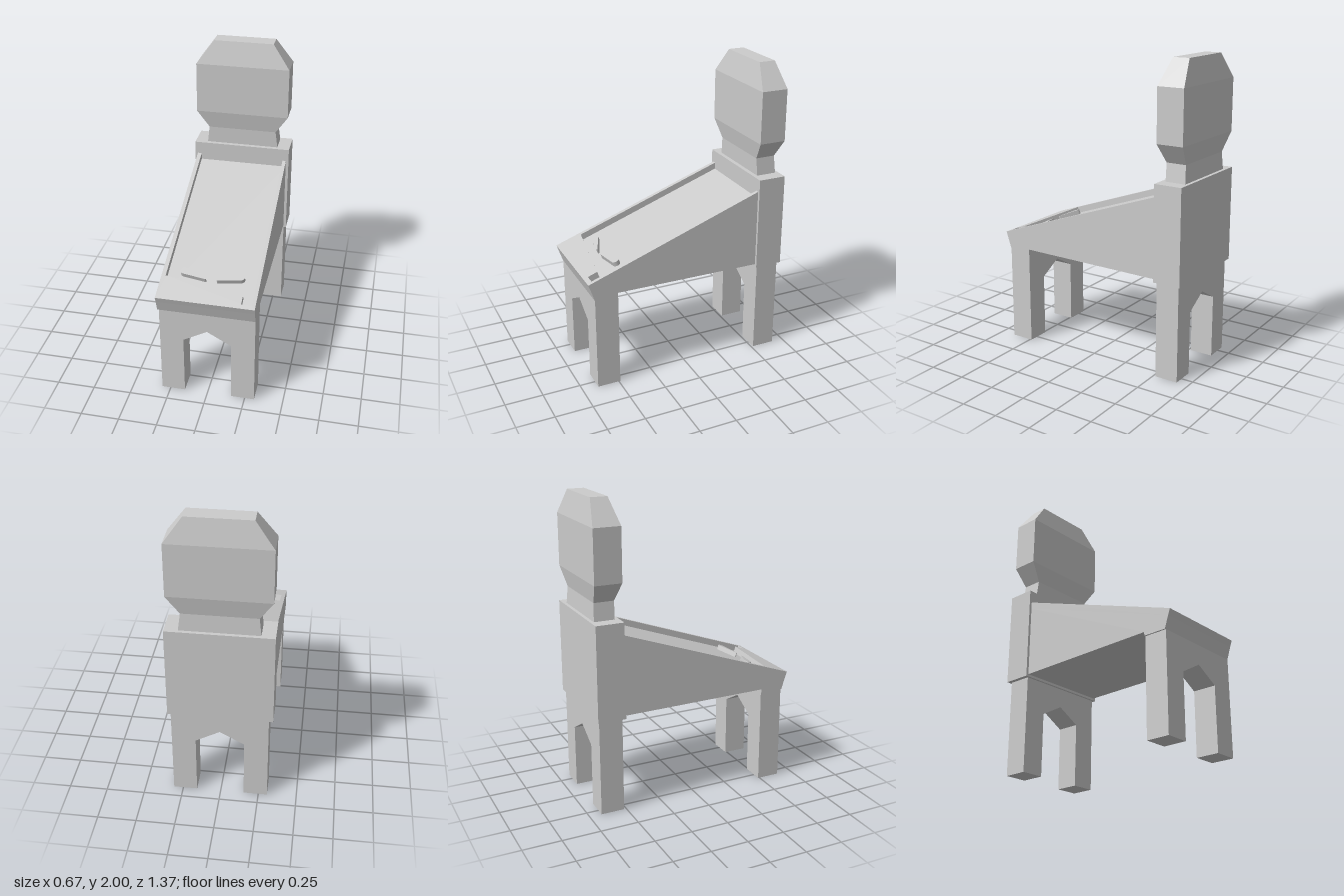
import * as THREE from 'three';

const material = new THREE.MeshStandardMaterial({ color: 0xcccccc, flatShading: true });

// Slope frame of the table top: s runs from the front lip up the slope
const FRONT = { y: 0.755, z: 0.685 }, RISE = 0.42, RUN = 1.185;
const LENGTH = Math.hypot(RISE, RUN);
const RECESS = 0.0425;
const slopeAt = (z) => (FRONT.z - z) * LENGTH / RUN;

function mesh(name, geometry, parent) {
  const m = new THREE.Mesh(geometry, material);
  m.name = name;
  parent.add(m);
  return m;
}

function extrude(points, depth) {
  const shape = new THREE.Shape(points.map(([x, y]) => new THREE.Vector2(x, y)));
  return new THREE.ExtrudeGeometry(shape, { depth, bevelEnabled: false });
}

// Joins rectangular sections [y, xMin, xMax, zBack, zFront] from bottom to top
function loftRectangles(sections) {
  const rings = sections.map(([y, x0, x1, z0, z1]) =>
    [[x0, y, z1], [x1, y, z1], [x1, y, z0], [x0, y, z0]]);
  const positions = [];
  const quad = (a, b, c, d) => positions.push(...a, ...b, ...c, ...a, ...c, ...d);
  for (let i = 0; i < rings.length - 1; i++) {
    for (let k = 0; k < 4; k++) {
      const n = (k + 1) % 4;
      quad(rings[i][k], rings[i][n], rings[i + 1][n], rings[i + 1][k]);
    }
  }
  quad(...rings[rings.length - 1]);
  quad(...rings[0].slice().reverse());
  const geometry = new THREE.BufferGeometry();
  geometry.setAttribute('position', new THREE.Float32BufferAttribute(positions, 3));
  geometry.computeVertexNormals();
  return geometry;
}

// Tapered flipper outline: a large round at the pivot, a small one at the tip
function flipperGeometry(pivot, tip, r0, r1, depth) {
  const dx = tip[0] - pivot[0], dy = tip[1] - pivot[1];
  const angle = Math.atan2(dy, dx);
  const spread = Math.acos((r0 - r1) / Math.hypot(dx, dy));
  const points = [];
  const arc = (c, r, from, to, steps) => {
    for (let i = 0; i <= steps; i++) {
      const a = from + (to - from) * i / steps;
      points.push([c[0] + r * Math.cos(a), c[1] + r * Math.sin(a)]);
    }
  };
  arc(pivot, r0, angle + spread, angle + 2 * Math.PI - spread, 12);
  arc(tip, r1, angle - spread, angle + spread, 4);
  return extrude(points, depth);
}

export function createModel() {
  const model = new THREE.Group();
  model.name = 'pinballMachine';

  // Wedge-shaped cabinet below the playfield
  const ny = RUN / LENGTH * RECESS, nz = RISE / LENGTH * RECESS;
  const cabinet = extrude([
    [0.645, 0.636], [FRONT.z - nz, FRONT.y - ny], [-0.51, 1.134],
    [-0.51, 0.65], [0.49, 0.66], [0.49, 0.636],
  ], 0.629);
  cabinet.rotateY(-Math.PI / 2).translate(0.312, 0, 0);
  mesh('cabinet', cabinet, model);

  // Raised rim, apron and ball chute on the slope
  const table = new THREE.Group();
  table.name = 'tableTop';
  table.position.set(0, FRONT.y, FRONT.z);
  table.rotation.x = -Math.atan2(RUN, RISE);
  model.add(table);
  const end = LENGTH + 0.01;
  const rim = extrude([
    [-0.317, 0], [0.312, 0], [0.312, end], [0.288, end],
    [0.288, slopeAt(0.655)], [0.222, slopeAt(0.655)], [0.222, slopeAt(0.592)],
    [-0.29, slopeAt(0.518)], [-0.29, end], [-0.317, end],
  ], RECESS);
  mesh('rimAndApron', rim, table).position.z = -RECESS;

  // Pair of flippers
  for (const [side, name] of [[1, 'leftFlipper'], [-1, 'rightFlipper']]) {
    const flipper = flipperGeometry(
      [side * 0.184, slopeAt(0.46)], [side * 0.039, slopeAt(0.499)], 0.024, 0.005, 0.032);
    mesh(name, flipper, table).position.z = -RECESS;
  }

  // Front and back leg frames with a pointed arch
  const legProfile = (top) => [
    [-0.307, 0], [-0.153, 0], [-0.153, 0.42], [0.0025, 0.508], [0.158, 0.42],
    [0.158, 0], [0.312, 0], [0.312, top], [-0.307, top],
  ];
  mesh('frontLegs', extrude(legProfile(0.64), 0.155), model).position.z = 0.49;
  mesh('backLegs', extrude(legProfile(0.65), 0.155), model).position.z = -0.67;

  // Upright box behind the table
  const box = new THREE.BoxGeometry(0.665, 0.625, 0.185);
  mesh('backBox', box, model).position.set(-0.002, 0.9475, -0.5925);

  // Faceted headboard on a short neck
  mesh('headboard', loftRectangles([
    [1.26, -0.249, 0.245, -0.663, -0.528],
    [1.375, -0.236, 0.23, -0.657, -0.525],
    [1.498, -0.318, 0.313, -0.68, -0.502],
    [1.84, -0.318, 0.313, -0.68, -0.502],
    [2.0, -0.202, 0.198, -0.648, -0.538],
  ]), model);

  return model;
}
